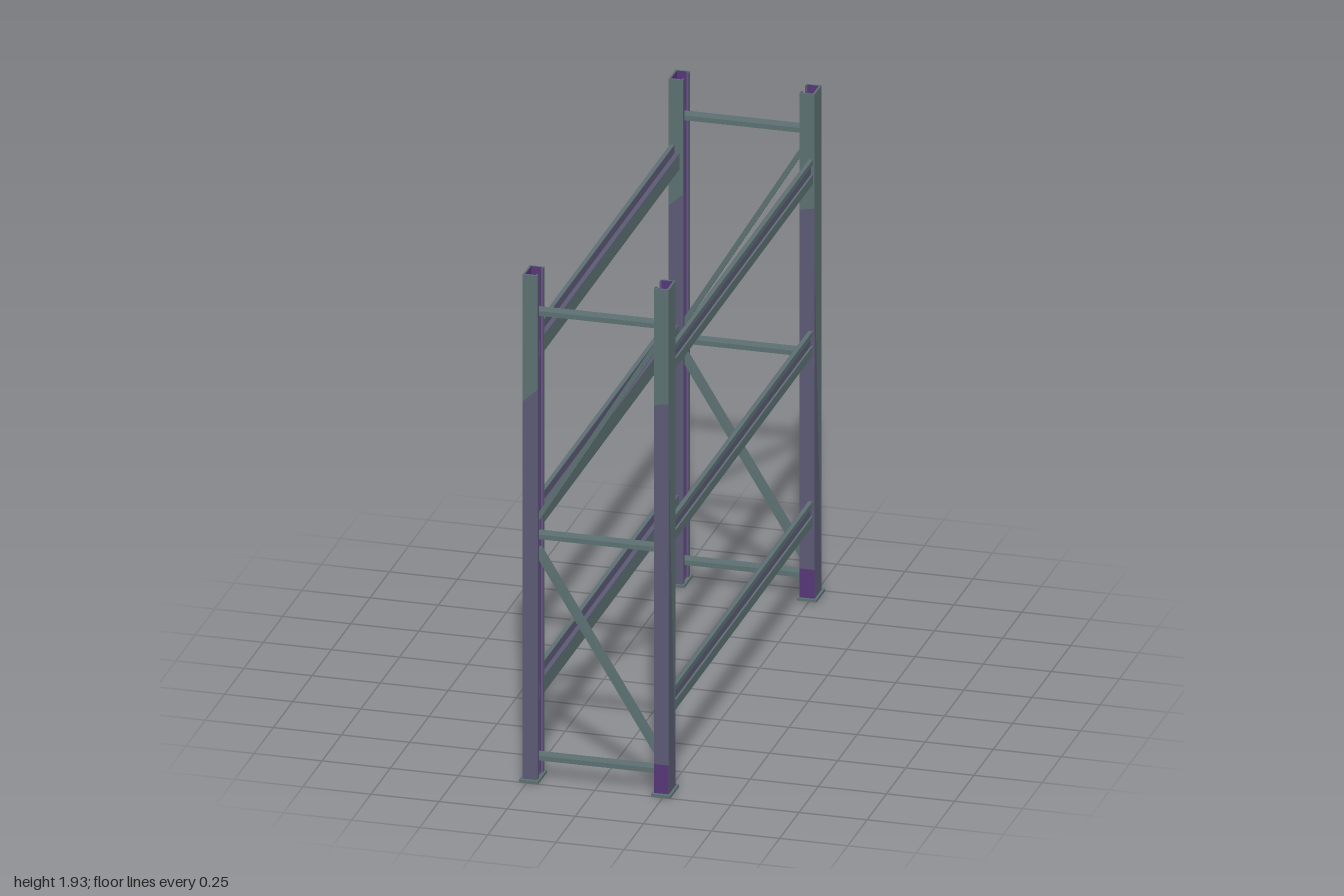
import * as THREE from 'three';

const mat = (name, color) => {
  const m = new THREE.MeshStandardMaterial({ color });
  m.name = name;
  return m;
};

export function createModel() {
  const steel = mat('teal steel', 0x5c7072);
  const purple = mat('grey purple', 0x5c5a74);
  const violet = mat('dark violet', 0x553676);
  const model = new THREE.Group();
  model.name = 'storageRack';

  const H = 1.935, IN = 0.214, OUT = 0.268, ZC = 0.942, HZ = 0.045, T = 0.007;

  const add = (parent, name, geo, material, x = 0, y = 0, z = 0) => {
    const m = new THREE.Mesh(geo, material);
    m.name = name;
    m.position.set(x, y, z);
    parent.add(m);
    return m;
  };
  const box = (parent, name, w, h, d, material, x, y, z) =>
    add(parent, name, new THREE.BoxGeometry(w, h, d), material, x, y, z);

  // Flat painted patch; turn is the rotation about y that aims it outward
  const patch = (parent, name, pts, material, turn, x, z) => {
    const shape = new THREE.Shape(pts.map(([u, v]) => new THREE.Vector2(u, v)));
    add(parent, name, new THREE.ShapeGeometry(shape), material, x, 0, z).rotation.y = turn;
  };
  const strip = (half, y0, y1, y2 = y1) => [[-half, y0], [half, y0], [half, y2], [-half, y1]];

  // Upright: lipped channel open towards the middle of the frame
  const post = (sx, sz) => {
    const g = new THREE.Group();
    g.name = 'upright';
    model.add(g);
    const mid = sx * (IN + OUT) / 2, zc = sz * ZC, half = (OUT - IN) / 2;
    box(g, 'web', T, H, HZ * 2, steel, sx * (OUT - T / 2), H / 2, zc);
    box(g, 'webLining', 0.002, H, HZ * 2 - 2 * T, violet, sx * (OUT - T - 0.001), H / 2, zc);
    for (const k of [-1, 1]) {
      box(g, 'flange', OUT - IN - T, H, T, steel, mid - sx * T / 2, H / 2, zc + k * (HZ - T / 2));
      box(g, 'flangeLining', OUT - IN - T, H, 0.002, violet, mid - sx * T / 2, H / 2, zc + k * (HZ - T - 0.001));
      box(g, 'lip', T, H, 0.012, purple, sx * (IN + T / 2), H / 2, zc + k * (HZ - T - 0.006));
    }
    // Purple lower faces, with a violet foot on the left uprights
    const e = 0.0008;
    const foot = sx > 0 ? 0.12 : 0;
    patch(g, 'frontPaint', strip(half, foot, sx < 0 ? 1.45 : 1.49, 1.5), purple, 0, mid, zc + HZ + e);
    if (foot) patch(g, 'footPaint', strip(half, 0, foot), violet, 0, mid, zc + HZ + e);
    if (sz > 0) patch(g, 'backPaint', strip(half, 0, 1.45), purple, Math.PI, mid, zc - HZ - e);
    const sidePts = sx > 0 ? [[-HZ, 0], [HZ, 0], [-HZ, 1.28]] : strip(HZ, 0, 1.47);
    patch(g, 'sidePaint', sidePts, purple, sx * Math.PI / 2, sx * (OUT + e), zc);
    box(g, 'basePlate', 0.071, 0.01, 0.112, steel, sx * 0.2425, 0.005, sz * 0.944);
    box(g, 'basePlatePaint', 0.04, 0.002, 0.07, violet, mid, 0.011, zc);
  };
  for (const sx of [-1, 1]) for (const sz of [-1, 1]) post(sx, sz);

  // End frame bracing: three rungs and two diagonals at each end
  for (const sz of [-1, 1]) {
    const g = new THREE.Group();
    g.name = 'endBracing';
    model.add(g);
    const bar = (name, x0, y0, x1, y1) => {
      const b = box(g, name, Math.hypot(x1 - x0, y1 - y0), 0.018, 0.046, steel,
        (x0 + x1) / 2, (y0 + y1) / 2, sz * ZC);
      b.rotation.z = Math.atan2(y1 - y0, x1 - x0);
    };
    for (const y of [0.085, 0.93, 1.783]) bar('rung', -0.238, y, 0.238, y);
    bar('upperDiagonal', -0.225, 0.99, 0.225, 1.725);
    bar('lowerDiagonal', -0.225, 0.875, 0.225, 0.14);
  }

  // Shelf beams: shallow outer groove and inner step, ending inside the uprights
  const profile = new THREE.Shape([
    [0.228, 0], [0.262, 0], [0.262, 0.036], [0.253, 0.036], [0.253, 0.073],
    [0.262, 0.073], [0.262, 0.093], [0.247, 0.093], [0.247, 0.06], [0.228, 0.06],
  ].map(([x, y]) => new THREE.Vector2(x, y)));
  const L = 1.84;
  const beamGeo = new THREE.ExtrudeGeometry(profile, { depth: L, bevelEnabled: false });
  beamGeo.translate(0, 0, -L / 2);
  for (const y of [0.288, 0.938, 1.592]) {
    for (const turn of [0, Math.PI]) {
      const g = new THREE.Group();
      g.name = 'shelfBeam';
      g.position.y = y;
      g.rotation.y = turn;
      model.add(g);
      add(g, 'beam', beamGeo, steel);
      box(g, 'groovePaint', 0.002, 0.037, L, purple, 0.2535, 0.0545, 0);
      box(g, 'stepPaint', 0.019, 0.002, L, purple, 0.2375, 0.0605, 0);
      box(g, 'stepWallPaint', 0.002, 0.033, L, purple, 0.2465, 0.0765, 0);
    }
  }
  return model;
}
